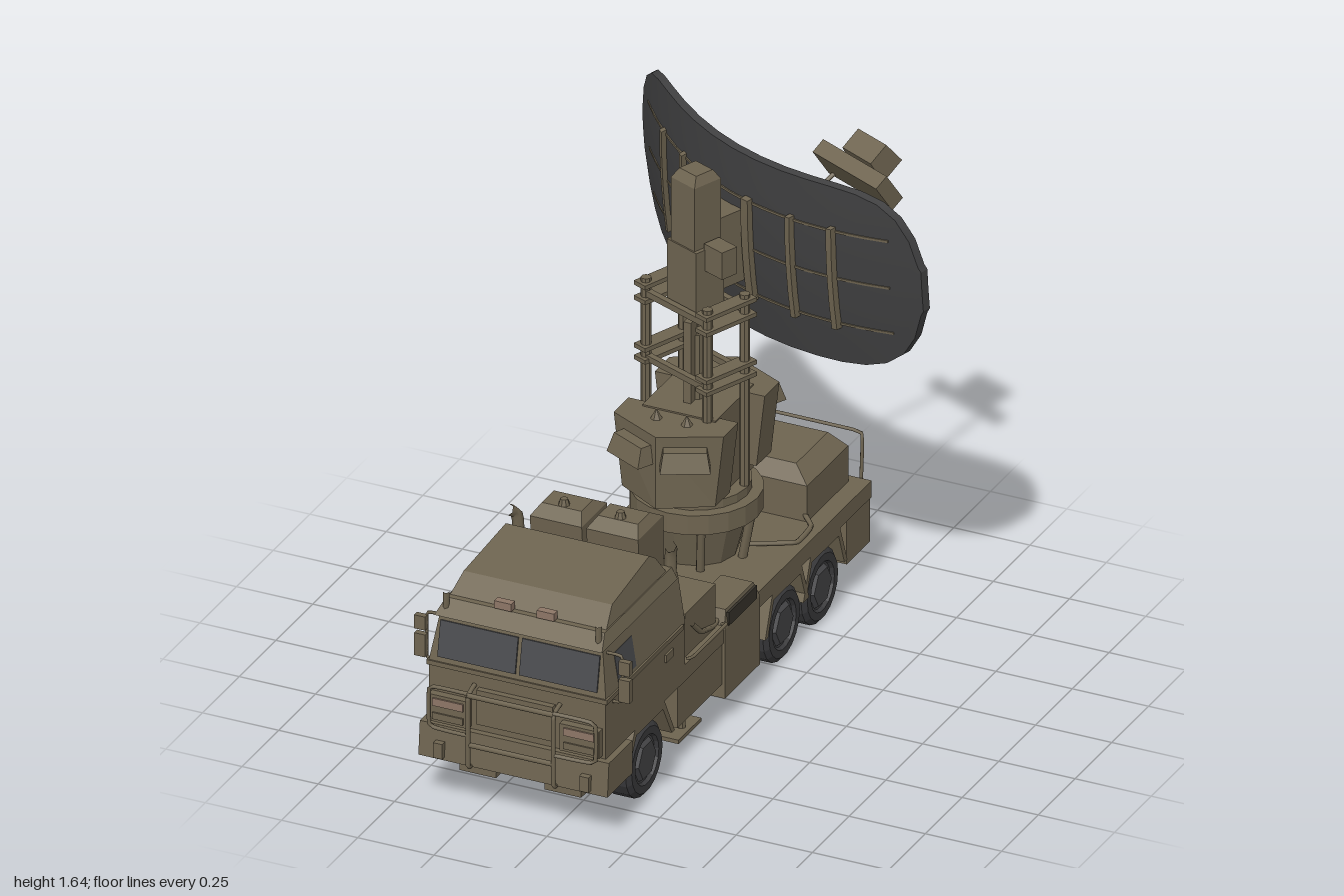
import * as THREE from 'three';

const mat = (name, color) => Object.assign(new THREE.MeshStandardMaterial({ color }), { name });
const paint = mat('olive paint', 0x6e6450);
const dishGrey = mat('dish grey', 0x404041);
const rubber = mat('tyre rubber', 0x3a3a3c);
const hub = mat('hub grey', 0x434345);
const glass = mat('window glass', 0x4a4b4e);
const lamp = mat('lamp', 0x8d7666);
const dark = mat('dark trim', 0x37332b);

// Faceted normals for hard-edged parts
function flat(g) {
  const n = g.index ? g.toNonIndexed() : g;
  n.computeVertexNormals();
  return n;
}
function add(parent, name, geo, material, x = 0, y = 0, z = 0) {
  const m = new THREE.Mesh(geo, material);
  m.name = name;
  m.position.set(x, y, z);
  parent.add(m);
  return m;
}
// Box given by its limits
const box = (p, name, x0, x1, y0, y1, z0, z1, m = paint) =>
  add(p, name, new THREE.BoxGeometry(x1 - x0, y1 - y0, z1 - z0), m, (x0 + x1) / 2, (y0 + y1) / 2, (z0 + z1) / 2);
// The same box on both sides
const pair = (p, name, x0, x1, ...rest) => {
  box(p, name, x0, x1, ...rest);
  box(p, name, -x1, -x0, ...rest);
};
// Side profile [z, y] extruded across x
function profile(p, name, pts, width, x = 0) {
  const g = new THREE.ExtrudeGeometry(new THREE.Shape(pts.map(a => new THREE.Vector2(...a))), { depth: width, bevelEnabled: false });
  g.translate(0, 0, -width / 2).rotateY(-Math.PI / 2);
  return add(p, name, g, paint, x);
}
// Box whose top is narrowed by tx, and by tzf / tzb at front and back
function taper(p, name, x0, x1, y0, y1, z0, z1, tx, tzf, tzb) {
  const b = box(p, name, x0, x1, y0, y1, z0, z1), a = b.geometry.attributes.position;
  for (let i = 0; i < a.count; i++) if (a.getY(i) > 0) {
    a.setX(i, a.getX(i) - Math.sign(a.getX(i)) * tx);
    a.setZ(i, a.getZ(i) + (a.getZ(i) > 0 ? -tzf : tzb));
  }
  b.geometry = flat(b.geometry);
  return b;
}
function tube(p, name, pts, r = 0.007) {
  const v = pts.map(a => new THREE.Vector3(...a));
  const c = v.length > 2 ? new THREE.CatmullRomCurve3(v, false, 'catmullrom', 0.15) : new THREE.LineCurve3(...v);
  return add(p, name, new THREE.TubeGeometry(c, v.length > 2 ? v.length * 5 : 1, r, 6), paint);
}
const cyl = (p, name, r1, r0, h, n, m, x, y, z) =>
  add(p, name, flat(new THREE.CylinderGeometry(r1, r0, h, n)), m, x, y, z);

function buildCab(t) {
  box(t, 'cabLower', -0.29, 0.29, 0.27, 0.47, 0.4, 0.94);
  taper(t, 'cabUpper', -0.29, 0.29, 0.47, 0.63, 0.4, 0.94, 0.025, 0.03, 0);
  taper(t, 'roofVisor', -0.275, 0.275, 0.62, 0.66, 0.42, 0.935, 0.015, 0.05, 0.01);
  // Roof fairing, narrower towards the top
  const roof = profile(t, 'roofFairing', [[0.885, 0.645], [0.8, 0.71], [0.53, 0.74], [0.5, 0.72], [0.45, 0.645]], 0.52).geometry;
  const rp = roof.attributes.position;
  for (let i = 0; i < rp.count; i++) rp.setX(i, rp.getX(i) * (1 - (rp.getY(i) - 0.645)));
  roof.computeVertexNormals();
  box(t, 'sideMoulding', -0.296, 0.296, 0.455, 0.47, 0.42, 0.945);
  for (const s of [-1, 1]) {
    // Windows
    const wind = add(t, 'windshield', new THREE.BoxGeometry(0.255, 0.115, 0.006), glass, s * 0.134, 0.543, 0.929);
    wind.rotation.x = -0.185;
    const side = add(t, 'doorWindow', new THREE.BoxGeometry(0.006, 0.1, 0.12), glass, s * 0.279, 0.53, 0.79);
    side.rotation.z = s * 0.155;
    box(t, 'doorHandle', s * 0.292 - 0.005, s * 0.292 + 0.005, 0.4, 0.425, 0.49, 0.54);
    // Lamps, mirrors, exhausts
    box(t, 'headlightHousing', s * 0.215 - 0.065, s * 0.215 + 0.065, 0.28, 0.37, 0.94, 0.965);
    box(t, 'headlight', s * 0.215 - 0.05, s * 0.215 + 0.05, 0.335, 0.36, 0.965, 0.97, lamp);
    box(t, 'bumperLamp', s * 0.215 - 0.05, s * 0.215 + 0.05, 0.29, 0.312, 0.965, 0.97);
    box(t, 'roofLamp', s * 0.07 - 0.028, s * 0.07 + 0.028, 0.665, 0.69, 0.87, 0.895, lamp);
    box(t, 'mirror', s * 0.335 - 0.018, s * 0.335 + 0.018, 0.455, 0.53, 0.89, 0.91);
    box(t, 'mirrorUpper', s * 0.335 - 0.018, s * 0.335 + 0.018, 0.545, 0.59, 0.89, 0.91);
    tube(t, 'mirrorArm', [[s * 0.27, 0.6, 0.89], [s * 0.32, 0.595, 0.89], [s * 0.32, 0.45, 0.89], [s * 0.285, 0.44, 0.89]], 0.005);
    tube(t, 'exhaust', [[s * 0.25, 0.32, 0.415], [s * 0.25, 0.68, 0.415], [s * 0.255, 0.72, 0.42], [s * 0.265, 0.74, 0.45]], 0.018);
    tube(t, 'roofMarker', [[s * 0.25, 0.6, 0.905], [s * 0.25, 0.69, 0.905]], 0.01);
    tube(t, 'grilleGuardPost', [[s * 0.14, 0.16, 0.96], [s * 0.14, 0.17, 0.985], [s * 0.14, 0.4, 0.985], [s * 0.14, 0.42, 0.94]], 0.008);
    tube(t, 'cornerGuard', [[s * 0.14, 0.27, 0.985], [s * 0.27, 0.27, 0.975], [s * 0.27, 0.4, 0.975], [s * 0.14, 0.41, 0.985]], 0.007);
    box(t, 'towHook', s * 0.24 - 0.015, s * 0.24 + 0.015, 0.17, 0.22, 0.965, 0.985);
    box(t, 'bumperStep', s * 0.14 - 0.06, s * 0.14 + 0.06, 0.11, 0.16, 0.85, 0.92);
  }
  box(t, 'grille', -0.125, 0.125, 0.3, 0.415, 0.94, 0.96);
  for (const y of [0.24, 0.405]) tube(t, 'grilleGuardBar', [[-0.14, y, 0.985], [0.14, y, 0.985]], 0.008);
  taper(t, 'bumper', -0.31, 0.31, 0.16, 0.27, 0.8, 0.97, 0, 0.01, 0);
}

function buildChassis(t) {
  box(t, 'deck', -0.29, 0.29, 0.27, 0.325, -0.87, 0.4);
  box(t, 'frame', -0.17, 0.17, 0.16, 0.27, -0.8, 0.85);
  box(t, 'bellyPan', -0.19, 0.19, 0.12, 0.16, -0.1, 0.45);
  pair(t, 'sideSkirt', 0.19, 0.285, 0.13, 0.27, 0.14, 0.44);
  box(t, 'rearBody', -0.285, 0.285, 0.12, 0.27, -0.87, -0.71);
  for (const s of [-1, 1]) {
    box(t, 'rearLampHousing', s * 0.22 - 0.04, s * 0.22 + 0.04, 0.19, 0.215, -0.876, -0.87);
    box(t, 'rearHook', s * 0.1 - 0.012, s * 0.1 + 0.012, 0.14, 0.18, -0.89, -0.87);
    // Angular mudguards
    for (const [z, d] of [[0.64, 0.17], [-0.295, 0.15], [-0.555, 0.15]])
      profile(t, 'mudguard', [[z + d, 0.14], [z + 0.1, 0.272], [z - 0.1, 0.272], [z - d, 0.14], [z - d + 0.02, 0.14],
        [z - 0.09, 0.248], [z + 0.09, 0.248], [z + d - 0.02, 0.14]], 0.11, s * 0.235);
    // Stabiliser jacks
    cyl(t, 'jackLeg', 0.014, 0.014, 0.26, 8, paint, s * 0.2, 0.14, 0.24);
    box(t, 'jackFoot', s * 0.18 - 0.05, s * 0.18 + 0.05, 0.005, 0.018, 0.165, 0.32);
    tube(t, 'sideRail', [[s * 0.29, 0.34, 0.39], [s * 0.31, 0.35, 0.385], [s * 0.31, 0.35, 0.16], [s * 0.29, 0.34, 0.15]], 0.005);
  }
  // Side lockers
  box(t, 'sideLocker', 0.17, 0.295, 0.085, 0.315, -0.1, 0.14);
  taper(t, 'lockerTop', 0.17, 0.295, 0.315, 0.37, -0.1, 0.14, 0.01, 0.025, 0.025);
  box(t, 'lockerVent', 0.289, 0.297, 0.318, 0.362, -0.075, 0.115, dark);
  box(t, 'sideLocker', -0.285, -0.17, 0.1, 0.27, -0.1, 0.14);
  // Axles and wheels
  for (const z of [0.64, -0.295, -0.555]) {
    cyl(t, 'axle', 0.025, 0.025, 0.44, 8, paint, 0, 0.12, z).rotation.z = Math.PI / 2;
    add(t, 'differential', new THREE.SphereGeometry(0.058, 14, 10), paint, 0, 0.1, z);
    for (const s of [-1, 1]) {
      const w = new THREE.Group();
      w.name = 'wheel';
      w.position.set(s * 0.238 - 0.004, 0.12, z);
      w.rotation.z = -s * Math.PI / 2;
      t.add(w);
      const prof = [[0.06, -0.047], [0.105, -0.047], [0.12, -0.034], [0.12, 0.034], [0.105, 0.047], [0.08, 0.047], [0.074, 0.034]];
      add(w, 'tyre', flat(new THREE.LatheGeometry(prof.map(a => new THREE.Vector2(...a)), 18)), rubber);
      cyl(w, 'rim', 0.076, 0.076, 0.07, 14, hub, 0, 0, 0);
      cyl(w, 'hubCap', 0.06, 0.07, 0.014, 6, hub, 0, 0.041, 0);
    }
  }
}

function buildDeckEquipment(t) {
  // Cabinets behind the cab
  box(t, 'cabinetBase', -0.27, 0.27, 0.325, 0.47, 0.15, 0.36);
  for (const x of [-0.155, 0.03]) {
    // Widens a little towards the lid
    taper(t, 'cabinet', x - 0.085, x + 0.085, 0.47, 0.68, 0.185, 0.335, 0, -0.022, 0);
    taper(t, 'cabinetTop', x - 0.085, x + 0.085, 0.68, 0.71, 0.185, 0.357, 0.02, 0.04, 0.05);
    cyl(t, 'cabinetCap', 0.012, 0.018, 0.02, 8, paint, x, 0.72, 0.3);
  }
  // Rear generator box with bevelled lid
  box(t, 'generator', -0.24, 0.23, 0.325, 0.445, -0.835, -0.555);
  taper(t, 'generatorLid', -0.24, 0.23, 0.445, 0.49, -0.835, -0.555, 0.055, 0.04, 0.025);
  tube(t, 'rearRail', [[-0.25, 0.3, -0.88], [-0.25, 0.45, -0.89], [-0.23, 0.47, -0.89], [0.23, 0.47, -0.89], [0.25, 0.45, -0.89], [0.25, 0.3, -0.88]], 0.006);
  // Cables
  tube(t, 'cable', [[0.275, 0.42, 0.32], [0.28, 0.37, 0.27], [0.27, 0.335, 0.16], [0.24, 0.34, 0.02]], 0.008);
  tube(t, 'cable', [[0.14, 0.34, -0.33], [0.26, 0.33, -0.42], [0.26, 0.335, -0.52], [0.2, 0.35, -0.58]], 0.008);
}

function buildPedestal(t) {
  const z = -0.28;
  cyl(t, 'pedestalCone', 0.165, 0.125, 0.15, 12, paint, 0, 0.395, z);
  for (let i = 0; i < 6; i++) {
    const a = i * Math.PI / 3, c = Math.cos(a), s = Math.sin(a);
    tube(t, 'pedestalStrut', [[c * 0.15, 0.32, z + s * 0.15], [c * 0.18, 0.48, z + s * 0.18]], 0.014);
  }
  cyl(t, 'turntable', 0.2, 0.2, 0.065, 20, paint, 0, 0.5, z);
  cyl(t, 'turntableTop', 0.165, 0.165, 0.03, 20, paint, 0, 0.545, z);
  box(t, 'pedestalCore', -0.12, 0.12, 0.55, 0.83, z - 0.14, z + 0.12);
  // Wedge-shaped equipment blocks front and back
  for (const s of [1, -1]) {
    const g = new THREE.Group();
    g.name = 'equipmentBlock';
    g.position.z = z;
    g.rotation.y = s > 0 ? 0 : Math.PI;
    t.add(g);
    const sh = new THREE.Shape([[-0.18, 0.09], [0.18, 0.09], [0.18, 0.19], [0, 0.28], [-0.18, 0.19]].map(a => new THREE.Vector2(...a)));
    const geo = new THREE.ExtrudeGeometry(sh, { depth: 0.24, bevelEnabled: false }).rotateX(Math.PI / 2);
    const p = geo.attributes.position;
    for (let i = 0; i < p.count; i++) if (p.getY(i) < -0.1) p.setX(i, p.getX(i) * 0.85);
    add(g, 'block', flat(geo), paint, 0, 0.825, 0);
    for (const e of [-1, 1]) {
      const hood = taper(g, 'blockHood', -0.075, 0.075, 0.73, 0.79, -0.03, 0.03, 0.01, 0.02, 0);
      hood.position.set(e * 0.09, 0.76, 0.265);
      hood.rotation.y = e * 0.46;
      cyl(g, 'blockSpike', 0.002, 0.018, 0.03, 6, paint, e * 0.05, 0.84, 0.17);
    }
  }
}

function buildMast(root, yaw) {
  const m = new THREE.Group();
  m.name = 'mast';
  m.position.set(-0.13, 0, -0.28);
  m.rotation.y = yaw;
  root.add(m);
  for (const x of [-0.136, 0.136]) {
    for (const z of [-0.074, 0.074]) cyl(m, 'mastPost', 0.016, 0.016, 0.64, 8, paint, x, 0.88, z);
    for (const y of [0.93, 0.97, 1.13, 1.18]) box(m, 'postClamp', x - 0.025, x + 0.025, y - 0.007, y + 0.007, -0.1, 0.1);
  }
  for (const y of [0.935, 1.15]) for (const z of [-0.074, 0.074]) box(m, 'crossBar', -0.136, 0.136, y - 0.01, y + 0.01, z - 0.01, z + 0.01);
  cyl(m, 'mastTubeLower', 0.03, 0.03, 0.25, 10, paint, 0, 0.92, 0);
  cyl(m, 'mastTubeUpper', 0.02, 0.02, 0.2, 10, paint, 0, 1.1, 0);
  const fin = box(m, 'mastFin', -0.012, 0.012, 0.82, 1.1, -0.055, 0.055);
  fin.rotation.y = -yaw;
  box(m, 'headLower', -0.065, 0.065, 1.13, 1.35, -0.055, 0.055);
  box(m, 'headUpper', -0.052, 0.052, 1.35, 1.56, -0.055, 0.05);
  taper(m, 'headCap', -0.052, 0.052, 1.56, 1.59, -0.055, 0.05, 0.015, 0.02, 0.02);
  box(m, 'headSidePanel', 0.06, 0.14, 1.28, 1.37, -0.04, 0.02);
  box(m, 'dishMount', -0.08, 0.045, 1.18, 1.42, -0.165, -0.05);
}

function buildDish(root, yaw) {
  const d = new THREE.Group();
  d.name = 'antenna';
  d.position.set(-0.138, 1.28, -0.28);
  d.rotation.set(0.12, yaw, 0);
  root.add(d);
  const R = 0.615;
  const height = u => 0.317 * Math.max(0.22, Math.pow(Math.max(0, 1 - Math.abs(u / R) ** 8), 0.55));
  const depth = (u, v) => -0.17 - 0.53 * u * u - 0.2 * v * v;
  // A box bent onto the reflector surface
  function curved(name, map, n, k, thick, m) {
    const g = new THREE.BoxGeometry(2, 2, thick, n, k, 1), p = g.attributes.position;
    for (let i = 0; i < p.count; i++) {
      const [u, v] = map(p.getX(i), p.getY(i));
      p.setXYZ(i, u, v, depth(u, v) + p.getZ(i));
    }
    g.computeVertexNormals();
    add(d, name, g, m);
  }
  curved('reflector', (x, y) => { const u = R * Math.sin(x * Math.PI / 2); return [u, y * height(u)]; }, 20, 6, 0.026, dishGrey);
  for (const [c, w] of [[-0.37, 0.008], [-0.235, 0.008], [-0.075, 0.014], [0.075, 0.014], [0.235, 0.008], [0.37, 0.008]])
    curved('verticalRib', (x, y) => [c + x * w, y * 0.18], 1, 4, 0.064, paint);
  for (const c of [-0.165, 0, 0.165])
    curved('horizontalRib', (x, y) => [x * 0.53, c + y * 0.004], 16, 1, 0.032, paint);
  // Feed horn and its arms
  const f = new THREE.Group();
  f.name = 'feed';
  f.position.set(0.015, 0.005, -0.665);
  f.rotation.x = 0.5;
  d.add(f);
  box(f, 'feedPlate', -0.14, 0.14, -0.06, 0.06, 0, 0.05);
  const body = taper(f, 'feedBody', -0.07, 0.07, -0.045, 0.045, -0.09, 0.0, 0.008, 0.008, 0.008);
  body.position.y = 0.015;
  for (const s of [-1, 1])
    tube(d, 'feedArm', [[s * 0.16, -0.29, depth(0.16, 0.29)], [s * 0.09, -0.05, -0.645]], 0.007);
}

export function createModel() {
  const root = new THREE.Group();
  root.name = 'radarTruck';
  const truck = new THREE.Group();
  truck.name = 'truck';
  truck.position.x = -0.126;
  root.add(truck);
  buildCab(truck);
  buildChassis(truck);
  buildDeckEquipment(truck);
  buildPedestal(truck);
  buildMast(root, -0.39);
  buildDish(root, -0.39);
  return root;
}
